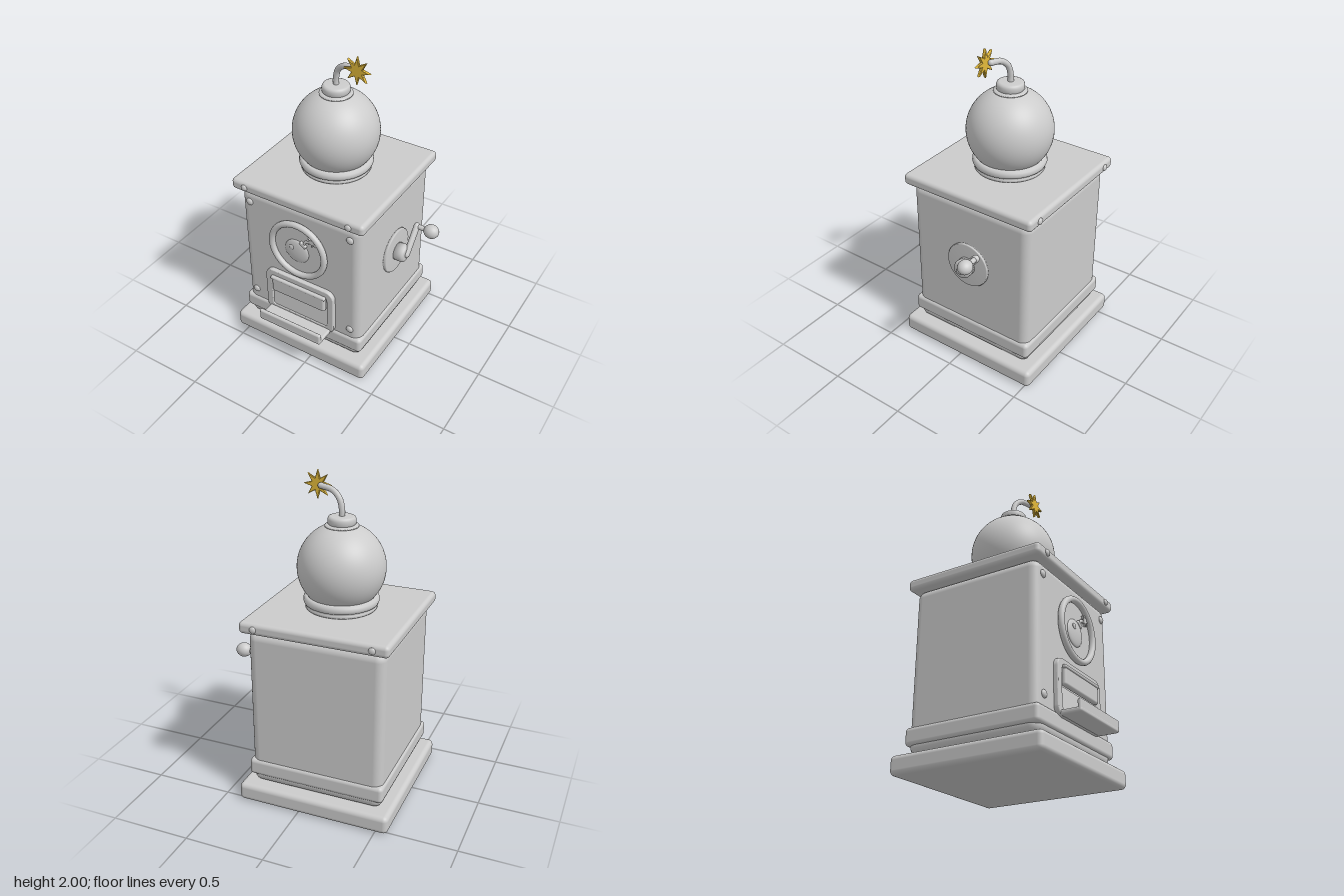
import * as THREE from 'three';
import { RoundedBoxGeometry } from 'three/addons/geometries/RoundedBoxGeometry.js';

const CX = -0.09, CZ = -0.045, FRONT = 0.378;
const grey = new THREE.MeshStandardMaterial({ color: 0xcccccc });
const gold = new THREE.MeshStandardMaterial({ color: 0xe2b93b });

export function createModel() {
  const root = new THREE.Group();
  root.name = 'bombDispenser';

  const add = (name, geometry, x, y, z, material = grey) => {
    const mesh = new THREE.Mesh(geometry, material);
    mesh.name = name;
    mesh.position.set(x, y, z);
    root.add(mesh);
    return mesh;
  };
  // Rounded box given by its bottom and top heights
  const box = (name, w, y0, y1, d, r, x = CX, z = CZ) =>
    add(name, new RoundedBoxGeometry(w, y1 - y0, d, 4, r), x, (y0 + y1) / 2, z);
  // Flattened ball
  const ball = (name, r, x, y, z, sx = 1, sy = 1, sz = 1) => {
    const mesh = add(name, new THREE.SphereGeometry(r, 24, 16), x, y, z);
    mesh.scale.set(sx, sy, sz);
    return mesh;
  };
  const tube = (name, points, r) => {
    const curve = new THREE.CatmullRomCurve3(points.map(p => new THREE.Vector3(...p)));
    add(name, new THREE.TubeGeometry(curve, 28, r, 12), 0, 0, 0);
    ball(name + 'End', r, ...points[points.length - 1]);
  };
  const lathe = (name, profile, x, y, z) =>
    add(name, new THREE.LatheGeometry(profile.map(p => new THREE.Vector2(...p)), 48), x, y, z);
  const star = (name, r, inner, depth, x, y, z, material) => {
    const shape = new THREE.Shape();
    for (let i = 0; i < 16; i++) {
      const a = i * Math.PI / 8, q = i % 2 ? inner : r;
      shape[i ? 'lineTo' : 'moveTo'](q * Math.cos(a), q * Math.sin(a));
    }
    shape.closePath();
    const geometry = new THREE.ExtrudeGeometry(shape, {
      depth: depth * 0.5, bevelEnabled: true, bevelThickness: depth * 0.25,
      bevelSize: r * 0.05, bevelOffset: -r * 0.05, bevelSegments: 1,
    });
    geometry.translate(0, 0, -depth * 0.25);
    return add(name, geometry, x, y, z, material);
  };
  const roundRect = (Type, w, h, r) => {
    const s = new Type(), x = w / 2, y = h / 2;
    s.moveTo(-x + r, -y);
    s.absarc(x - r, -y + r, r, -Math.PI / 2, 0);
    s.absarc(x - r, y - r, r, 0, Math.PI / 2);
    s.absarc(-x + r, y - r, r, Math.PI / 2, Math.PI);
    s.absarc(-x + r, -y + r, r, Math.PI, Math.PI * 1.5);
    return s;
  };

  // Cabinet
  box('base', 0.975, 0, 0.115, 0.975, 0.03);
  box('body', 0.845, 0.115, 1.135, 0.845, 0.055);
  box('lowerBand', 0.87, 0.17, 0.278, 0.87, 0.025);
  box('lid', 0.916, 1.133, 1.206, 0.916, 0.025);

  // Rivets on the body front and on the lid's front and back edges
  for (const side of [-1, 1]) {
    for (const y of [0.34, 1.05]) ball('bodyRivet', 0.024, CX + side * 0.355, y, FRONT, 1, 1, 0.6);
    for (const face of [-1, 1])
      ball('lidScrew', 0.021, CX + side * 0.362, 1.17, CZ + face * 0.458, 1, 1, 0.6);
  }

  // Bomb on its collar
  lathe('collar', [[0, 0], [0.212, 0], [0.216, 0.008], [0.216, 0.02], [0.208, 0.026], [0.222, 0.033],
    [0.228, 0.048], [0.225, 0.068], [0.212, 0.079], [0.19, 0.081], [0, 0.081]], CX, 1.205, CZ);
  add('bomb', new THREE.SphereGeometry(0.264, 64, 40), CX, 1.455, CZ);
  lathe('capSeat', [[0, 0], [0.1, 0], [0.1, 0.008], [0.085, 0.014], [0, 0.014]], CX, 1.7, CZ);
  lathe('bombCap', [[0, 0], [0.074, 0], [0.083, 0.01], [0.084, 0.035], [0.078, 0.048], [0.066, 0.053],
    [0, 0.053]], CX, 1.709, CZ);
  tube('fuse', [[CX, 1.74, CZ], [CX, 1.8, CZ], [-0.072, 1.86, -0.04],
    [-0.025, 1.9, -0.026], [0.055, 1.915, -0.012]], 0.018);
  star('spark', 0.087, 0.04, 0.019, 0.083, 1.916, 0.01, gold);

  // Round emblem with a small bomb in relief
  const plate = add('emblemPlate', new THREE.CylinderGeometry(0.19, 0.19, 0.016, 48), CX, 0.835, FRONT);
  plate.rotation.x = Math.PI / 2;
  add('emblemRing', new THREE.TorusGeometry(0.188, 0.02, 14, 64), CX, 0.835, 0.398);
  ball('emblemBomb', 0.085, -0.103, 0.817, 0.386, 1, 1, 0.22);
  ball('emblemShine', 0.018, -0.133, 0.847, 0.402, 1, 1, 0.4);
  const cap = add('emblemCap', new RoundedBoxGeometry(0.05, 0.026, 0.024, 2, 0.006), -0.054, 0.888, 0.39);
  cap.rotation.z = -0.6;
  tube('emblemFuse', [[-0.05, 0.893, 0.39], [-0.035, 0.918, 0.39], [-0.015, 0.928, 0.39], [0.01, 0.935, 0.39]], 0.009);
  star('emblemSpark', 0.037, 0.018, 0.018, 0.012, 0.937, 0.39, grey);

  // Delivery hatch: frame, sloping chute, flap and tray
  const frame = roundRect(THREE.Shape, 0.49, 0.326, 0.05);
  frame.holes.push(roundRect(THREE.Path, 0.42, 0.25, 0.025));
  add('hatchFrame', new THREE.ExtrudeGeometry(frame, {
    depth: 0.02, bevelThickness: 0.008, bevelSize: 0.006, bevelSegments: 3, curveSegments: 8,
  }), CX, 0.423, FRONT);
  const chute = add('chute', new THREE.BoxGeometry(0.41, 0.16, 0.012), CX, 0.36, 0.387);
  chute.rotation.x = -0.12;
  box('flap', 0.39, 0.436, 0.545, 0.036, 0.014, CX, 0.405);
  box('flapHinge', 0.405, 0.532, 0.556, 0.028, 0.011, CX, 0.415);
  box('trayFloor', 0.456, 0.258, 0.288, 0.155, 0.012, CX, 0.452);
  box('trayLip', 0.456, 0.258, 0.334, 0.026, 0.012, CX, 0.516);

  // Crank on the side
  const sideLathe = (name, profile, x) => {
    lathe(name, profile, x, 0.713, CZ).rotation.z = -Math.PI / 2;
  };
  sideLathe('crankPlate', [[0, 0], [0.148, 0], [0.148, 0.018], [0.143, 0.024], [0, 0.024]], 0.33);
  sideLathe('crankHub', [[0, 0], [0.058, 0], [0.059, 0.045], [0.053, 0.06], [0.04, 0.066], [0, 0.066]], 0.354);
  const dy = 0.142, dz = -0.118;
  const arm = add('crankArm', new THREE.CapsuleGeometry(0.024, Math.hypot(dy, dz), 8, 20),
    0.42, 0.713 + dy / 2, CZ + dz / 2);
  arm.rotation.x = Math.atan2(dz, dy);
  arm.scale.x = 0.8;
  const shaft = add('handleShaft', new THREE.CylinderGeometry(0.016, 0.016, 0.09, 20), 0.455, 0.855, CZ + dz);
  shaft.rotation.z = Math.PI / 2;
  ball('handleKnob', 0.045, 0.521, 0.855, CZ + dz, 1.1, 1, 1);

  return root;
}
